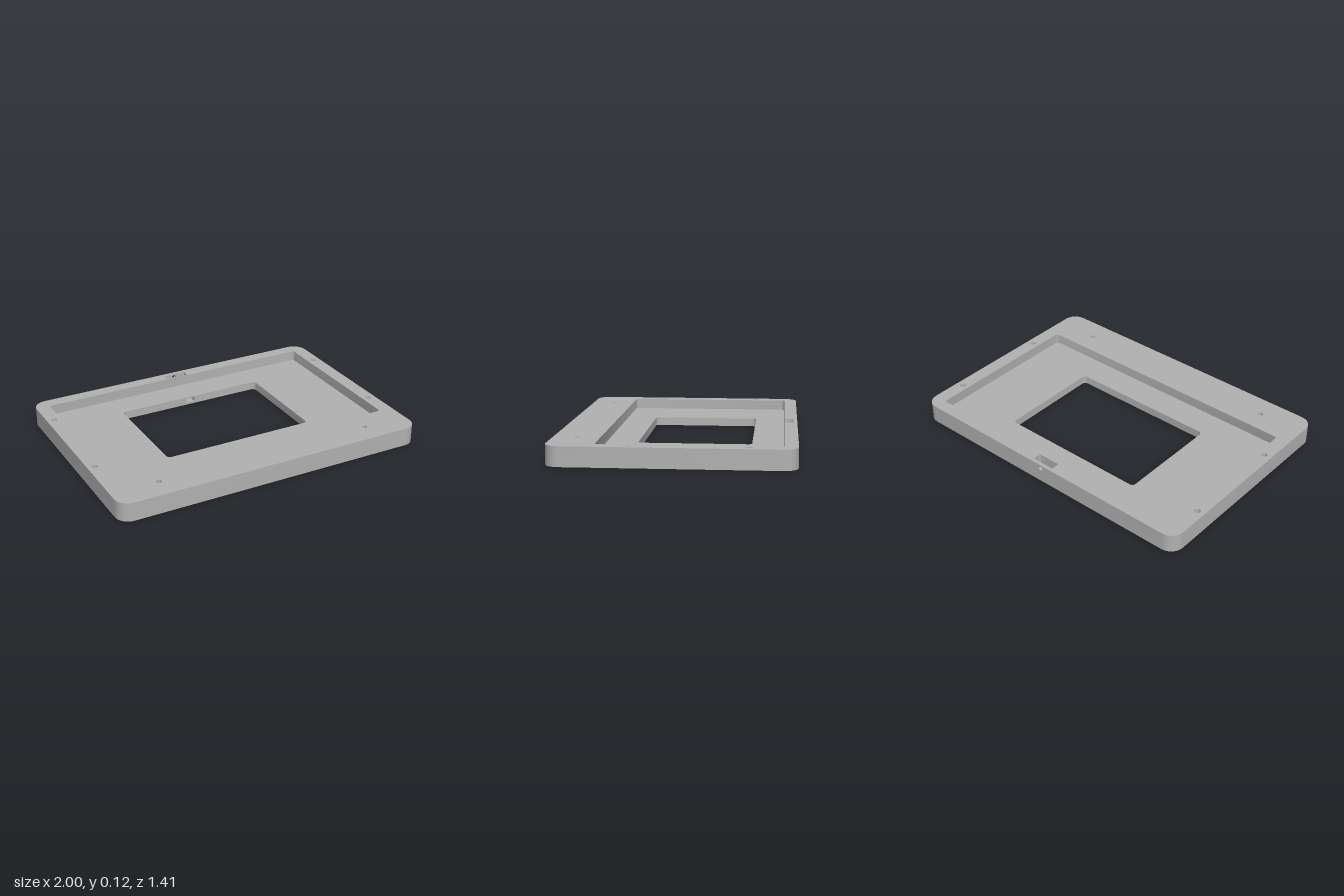
import * as THREE from 'three';
import { mergeGeometries, toCreasedNormals } from 'three/addons/utils/BufferGeometryUtils.js';

const TOP = 0.117, FLOOR = 0.052, ARC = 8;

// Rounded rectangle, counter-clockwise from above, as (x, -z) points.
// The closing segment is the back edge; segment FRONT is the front edge.
const FRONT = 2 * (ARC + 1) - 1, BACK = 4 * (ARC + 1) - 1;
function roundRect(hx, zBack, zFront, r) {
  const pts = [];
  const corners = [[-hx + r, -zBack - r], [-hx + r, -zFront + r], [hx - r, -zFront + r], [hx - r, -zBack - r]];
  corners.forEach(([x, y], i) => {
    for (let k = 0; k <= ARC; k++) {
      const a = (i + 1 + k / ARC) * Math.PI / 2;
      pts.push(new THREE.Vector2(x + r * Math.cos(a), y + r * Math.sin(a)));
    }
  });
  return pts;
}

function circle(x, z, r) {
  return Array.from({ length: 24 }, (_, i) => {
    const a = i / 24 * Math.PI * 2;
    return new THREE.Vector2(x + r * Math.cos(a), -z + r * Math.sin(a));
  });
}

function face(outline, holes = []) {
  const s = new THREE.Shape(outline);
  holes.forEach(h => s.holes.push(new THREE.Path(h)));
  const g = new THREE.ShapeGeometry(s).toNonIndexed();
  g.deleteAttribute('uv');
  return g;
}

// Horizontal face at height y
function cap(y, up, outline, holes) {
  const g = face(outline, holes);
  if (!up) { // reverse the winding for downward faces
    const p = g.attributes.position;
    for (let i = 0; i < p.count; i += 3) {
      const b = new THREE.Vector3().fromBufferAttribute(p, i + 1);
      const c = new THREE.Vector3().fromBufferAttribute(p, i + 2);
      p.setXYZ(i + 1, c.x, c.y, c.z);
      p.setXYZ(i + 2, b.x, b.y, b.z);
    }
  }
  return g.rotateX(-Math.PI / 2).translate(0, y, 0);
}

// Vertical strip along a closed path, leaving out the segments in skip
function wall(path, y0, y1, outward, skip = []) {
  const v = [];
  path.forEach((p, i) => {
    if (skip.includes(i)) return;
    let a = p, b = path[(i + 1) % path.length];
    if (!outward) [a, b] = [b, a];
    v.push(a.x, y0, -a.y, b.x, y0, -b.y, b.x, y1, -b.y, a.x, y0, -a.y, b.x, y1, -b.y, a.x, y1, -a.y);
  });
  const g = new THREE.BufferGeometry();
  g.setAttribute('position', new THREE.Float32BufferAttribute(v, 3));
  g.computeVertexNormals();
  return g;
}

// Upright flat wall with an opening, symmetric about x = 0
function panel(hx, y0, y1, z, facing, hole) {
  const g = face(box2(hx, y0, y1), [hole]);
  if (facing < 0) g.rotateY(Math.PI);
  return g.translate(0, 0, z);
}
const box2 = (hx, y0, y1) => [[-hx, y0], [hx, y0], [hx, y1], [-hx, y1]].map(p => new THREE.Vector2(...p));

export function createModel() {
  const model = new THREE.Group();
  const grey = new THREE.MeshStandardMaterial({ color: 0xb2b2b2 });
  grey.name = 'grey plastic';
  const add = (name, ...parts) => {
    const g = mergeGeometries(parts);
    g.computeVertexNormals();
    const mesh = new THREE.Mesh(toCreasedNormals(g, 0.5), grey);
    mesh.name = name;
    model.add(mesh);
  };

  const outer = roundRect(1, -0.703, 0.703, 0.085);
  const recess = roundRect(0.911, -0.622, 0.427, 0.02);
  const opening = roundRect(0.488, -0.435, 0.238, 0.025);
  const slot = roundRect(0.074, -0.68, -0.627, 0.006);
  const through = [], blind = [];
  for (const s of [-1, 1]) {
    for (const z of [-0.428, 0.235]) through.push(circle(s * 0.953, z, 0.017));
    through.push(circle(s * 0.70, 0.562, 0.017));
    for (const z of [-0.505, 0.304]) blind.push([circle(s * 0.533, z, 0.014), 0.035]);
    for (const z of [0.495, 0.625]) blind.push([circle(s * 0.283, z, 0.014), 0.05]);
  }
  const pinHole = circle(0, -0.093, 0.014);        // round hole in the back wall
  const duct = box2(0.03, 0.014, 0.042);           // passage from slot to opening

  add('outerWall', wall(outer, 0, TOP, true, [BACK]), panel(0.915, 0, TOP, -0.703, -1, pinHole));
  add('topRim', cap(TOP, true, outer, [recess, slot, ...through]));
  add('underside', cap(0, false, outer, [opening, ...through, ...blind.map(b => b[0])]));
  add('recessWall', wall(recess, FLOOR, TOP, false));
  add('recessFloor', cap(FLOOR, true, recess, [opening]));
  add('openingWall', wall(opening, 0, FLOOR, false, [BACK]), panel(0.463, 0, FLOOR, -0.435, 1, duct));
  add('throughHoles', ...through.map(h => wall(h, 0, TOP, false)));
  add('blindHoles', ...blind.flatMap(([h, d]) => [wall(h, 0, d, false), cap(d, false, h)]));

  // Slot in the back rim
  add('slot', wall(slot, 0.008, TOP, false, [FRONT, BACK]), cap(0.008, true, slot),
    panel(0.068, 0.008, TOP, -0.68, 1, pinHole),
    panel(0.068, 0.008, TOP, -0.627, -1, duct));

  // Passages are inward-facing strips, laid along z
  const tunnel = (path, z0, z1) => wall(path, z0, z1, false).rotateX(Math.PI / 2).scale(1, 1, 1);
  add('pinHole', tunnel(pinHole, -0.703, -0.68).applyMatrix4(new THREE.Matrix4()));
  add('duct', tunnel(duct, -0.627, -0.435));
  return model;
}
